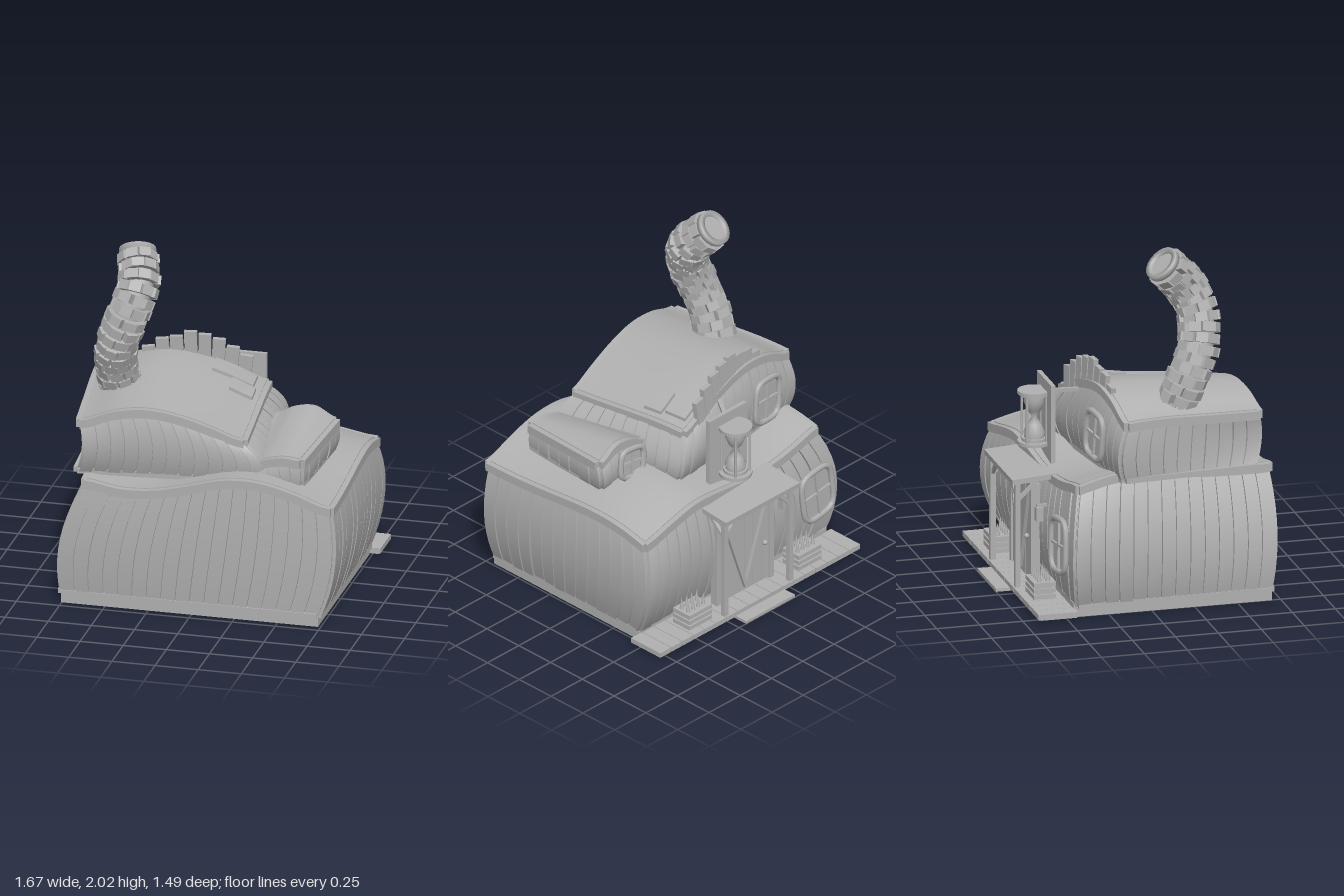
import * as THREE from 'three';

const V3 = THREE.Vector3;
const lerp = THREE.MathUtils.lerp;
const grey = new THREE.MeshStandardMaterial({ color: 0xb0b0b0 });
grey.name = 'plainGrey';

let seed = 7;
const rnd = () => ((seed = (seed * 16807) % 2147483647) / 2147483647);

function add(parent, name, geo, x = 0, y = 0, z = 0) {
  const m = new THREE.Mesh(geo, grey);
  m.name = name;
  m.position.set(x, y, z);
  parent.add(m);
  return m;
}
const box = (p, name, w, h, d, x, y, z) => add(p, name, new THREE.BoxGeometry(w, h, d), x, y, z);

// Square beam between two points
function beam(p, name, a, b, s) {
  const A = new V3(...a), B = new V3(...b);
  const m = box(p, name, s, s, A.distanceTo(B), 0, 0, 0);
  m.position.copy(A).add(B).multiplyScalar(0.5);
  m.lookAt(B);
  return m;
}

// Box whose unit coordinates (a, b, c in 0..1) are bent by a rule
function bent(p, name, na, nb, rule) {
  const g = new THREE.BoxGeometry(1, 1, 1, na, nb, 1), q = g.attributes.position;
  for (let i = 0; i < q.count; i++) {
    const v = rule(q.getX(i) + 0.5, q.getY(i) + 0.5, q.getZ(i) + 0.5);
    q.setXYZ(i, v.x, v.y, v.z);
  }
  g.computeVertexNormals();
  return add(p, name, g);
}

const spline = ys => {
  const c = new THREE.SplineCurve(ys.map((y, i) => new THREE.Vector2(i, y)));
  return a => c.getPoint(THREE.MathUtils.clamp(a, 0, 1)).y;
};

// A crooked storey: corners (front left, front right, back right, back left) at three heights
function storey(parent, name, { y0, levels, front, back, hump, planks }) {
  const g = new THREE.Group();
  g.name = name;
  parent.add(g);
  const fy = spline(front), by = spline(back);
  const roofY = (a, b) => lerp(fy(a), by(a), b) + hump * Math.sin(Math.PI * b * b);
  const corner = (i, h) => {
    const k = [2 * (h - 0.5) * (h - 1), 4 * h * (1 - h), 2 * h * (h - 0.5)];
    return [0, 1].map(j => k.reduce((s, w, l) => s + w * levels[l][i % 4][j], 0));
  };
  const wall = (s, t, h, out = 0, dy = 0) => {
    const A = corner(s, h), B = corner(s + 1, h);
    const dx = B[0] - A[0], dz = B[1] - A[1], L = Math.hypot(dx, dz);
    const top = [() => roofY(t, 0), () => roofY(1, t), () => roofY(1 - t, 1), () => roofY(0, 1 - t)][s]() - 0.025;
    return new V3(A[0] + dx * t - dz / L * out, lerp(y0, top, h) + dy, A[1] + dz * t + dx / L * out);
  };
  for (let s = 0; s < 4; s++) {
    bent(g, 'innerWall', 16, 10, (a, b, c) => wall(s, a, b, (c - 1) * 0.03));
    const n = planks[s];
    for (let i = 0; i < n; i++) {
      const thick = 0.012 + rnd() * 0.006;
      bent(g, 'wallPlank', 1, 10, (a, b, c) => wall(s, (i + 0.05 + a * 0.9) / n, b, c * thick));
    }
    bent(g, 'roofTrim', 24, 1, (a, b, c) => wall(s, lerp(-0.01, 1.01, a), 1, c * 0.032, b * 0.05 - 0.03));
    bent(g, 'sill', 12, 1, (a, b, c) => wall(s, a, 0, c * 0.024, b * 0.03));
  }
  const slab = (h, yf) => (a, b, c) => {
    const f = wall(0, a, h), k = wall(2, 1 - a, h);
    return new V3(lerp(f.x, k.x, b), yf(a, b, c), lerp(f.z, k.z, b));
  };
  const roofAt = slab(1, (a, b, c) => roofY(a, b) - 0.03 * (1 - c));
  bent(g, 'roof', 24, 16, roofAt);
  bent(g, 'floor', 4, 4, slab(0, (a, b, c) => y0 + c * 0.02));
  return { g, wall, roofAt };
}

// Group whose z axis points out of a wall
function onWall(st, name, s, t, h) {
  const p = st.wall(s, t, h, 0.02), e = 0.02;
  const x = st.wall(s, t + e, h, 0.02).sub(st.wall(s, t - e, h, 0.02)).normalize();
  const up = st.wall(s, t, h + e, 0.02).sub(st.wall(s, t, h - e, 0.02));
  const z = x.clone().cross(up).normalize();
  const g = new THREE.Group();
  g.name = name;
  g.applyMatrix4(new THREE.Matrix4().makeBasis(x, z.clone().cross(x), z).setPosition(p));
  st.g.add(g);
  return g;
}

function windowOn(st, t, h, w, ht) {
  const g = onWall(st, 'window', 2, t, h), pts = [];
  for (let i = 0; i < 16; i++) {
    const a = i / 16 * Math.PI * 2, c = Math.cos(a), s = Math.sin(a);
    pts.push(new V3(Math.sign(c) * Math.sqrt(Math.abs(c)) * w / 2, Math.sign(s) * Math.sqrt(Math.abs(s)) * ht / 2, 0.015));
  }
  add(g, 'windowFrame', new THREE.TubeGeometry(new THREE.CatmullRomCurve3(pts, true), 48, 0.018, 6, true));
  const pane = new THREE.Shape(pts.map(p => new THREE.Vector2(p.x, p.y)));
  add(g, 'pane', new THREE.ExtrudeGeometry(pane, { depth: 0.008, bevelEnabled: false }));
  box(g, 'muntin', 0.014, ht, 0.02, 0, 0, 0.012);
  box(g, 'muntin', w, 0.014, 0.02, 0, 0, 0.012);
}

export function createModel() {
  const root = new THREE.Group();
  root.name = 'crookedHouse';

  const lower = storey(root, 'lowerStorey', {
    y0: 0.05, hump: 0.05, planks: [18, 14, 18, 14],
    levels: [
      [[-0.75, 0.69], [0.73, 0.69], [0.73, -0.43], [-0.75, -0.43]],
      [[-0.74, 0.725], [0.815, 0.69], [0.785, -0.555], [-0.815, -0.46]],
      [[-0.60, 0.71], [0.79, 0.67], [0.75, -0.50], [-0.69, -0.40]]],
    front: [0.77, 0.735, 0.745, 0.79, 0.84, 0.84, 0.79, 0.72],
    back: [0.76, 0.72, 0.70, 0.71, 0.74, 0.76, 0.73, 0.69]
  });
  const upper = storey(root, 'upperStorey', {
    y0: 0.76, hump: 0.01, planks: [13, 10, 13, 10],
    levels: [
      [[-0.68, 0.61], [0.36, 0.52], [0.27, -0.28], [-0.74, -0.15]],
      [[-0.63, 0.66], [0.38, 0.54], [0.28, -0.33], [-0.765, -0.18]],
      [[-0.65, 0.64], [0.25, 0.52], [0.19, -0.25], [-0.74, -0.13]]],
    front: [1.10, 1.16, 1.18, 1.15, 1.09, 1.02],
    back: [1.12, 1.20, 1.235, 1.21, 1.15, 1.07]
  });
  const dormer = storey(root, 'dormer', {
    y0: 0.76, hump: 0, planks: [4, 7, 5, 7],
    levels: [
      [[0.36, 0.54], [0.59, 0.54], [0.62, -0.03], [0.30, -0.03]],
      [[0.36, 0.55], [0.60, 0.55], [0.65, -0.06], [0.30, -0.06]],
      [[0.31, 0.52], [0.59, 0.54], [0.64, -0.03], [0.30, -0.02]]],
    front: [0.89, 0.925, 0.945, 0.94],
    back: [0.97, 1.02, 1.03, 0.97]
  });
  windowOn(lower, 0.88, 0.52, 0.25, 0.3);
  windowOn(upper, 0.72, 0.48, 0.22, 0.26);
  windowOn(dormer, 0.6, 0.55, 0.18, 0.17);

  // Stepped planks rising over the back edge of the upper roof
  [1.25, 1.30, 1.315, 1.345, 1.33, 1.305, 1.26, 1.21].forEach((y, i) => {
    const x = -0.46 + i * 0.075, z = -0.165 - i * 0.013;
    const m = box(root, 'crestPlank', 0.072, y - 1.04, 0.03, x, (y + 1.04) / 2, z);
    m.rotation.set(0.06, 0.14, 0.12 - i * 0.035);
  });
  // Patches on the upper roof
  const patch = (a0, a1, b0, b1) => bent(root, 'roofPatch', 4, 4, (a, b, c) =>
    upper.roofAt(lerp(a0, a1, a), lerp(b0, b1, b), 1).add(new V3(0, c * 0.02, 0)));
  patch(0.7, 0.95, 0.78, 0.97);
  patch(0.83, 0.97, 0.6, 0.76);

  // Winding brick chimney
  const path = new THREE.CatmullRomCurve3([[-0.53, 1.12, 0.2], [-0.545, 1.3, 0.27], [-0.52, 1.46, 0.335],
    [-0.455, 1.64, 0.35], [-0.415, 1.79, 0.285], [-0.455, 1.935, 0.145]].map(p => new V3(...p)));
  const chimney = new THREE.Group();
  chimney.name = 'chimney';
  root.add(chimney);
  add(chimney, 'flue', new THREE.TubeGeometry(path, 32, 0.085, 14));
  const rings = 16, frames = path.computeFrenetFrames(rings, false);
  for (let i = 0; i < rings; i++) {
    const P = path.getPointAt(i / rings), T = frames.tangents[i];
    for (let j = 0; j < 9; j++) {
      const a = (j + (i % 2) / 2 + rnd() * 0.2) / 9 * Math.PI * 2;
      const n = frames.normals[i].clone().multiplyScalar(Math.cos(a)).addScaledVector(frames.binormals[i], Math.sin(a));
      const m = box(chimney, 'brick', 0.068, 0.054, 0.04, 0, 0, 0);
      const pos = P.clone().addScaledVector(n, 0.088 + rnd() * 0.014);
      m.applyMatrix4(new THREE.Matrix4().makeBasis(T.clone().cross(n), T, n).setPosition(pos));
    }
  }
  const cap = new THREE.Group();
  cap.name = 'chimneyCap';
  cap.position.copy(path.getPointAt(1));
  cap.quaternion.setFromUnitVectors(new V3(0, 1, 0), path.getTangentAt(1));
  chimney.add(cap);
  add(cap, 'capRing', new THREE.LatheGeometry([[0.075, -0.02], [0.105, -0.02], [0.105, 0.015], [0.075, 0.015], [0.075, -0.02]]
    .map(p => new THREE.Vector2(...p)), 20));
  add(cap, 'flueEnd', new THREE.CylinderGeometry(0.08, 0.08, 0.01, 20), 0, -0.01, 0);

  // Foundation, porch boards and step
  box(root, 'foundation', 1.49, 0.055, 1.14, -0.01, 0.0275, 0.13);
  for (let i = 0; i < 18; i++) box(root, 'porchBoard', 0.085, 0.03, 0.23, -0.756 + i * 0.089, 0.028, -0.555);
  box(root, 'porchUnderside', 1.58, 0.015, 0.21, 0, 0.014, -0.55);
  box(root, 'step', 0.39, 0.018, 0.09, 0, 0.009, -0.705);

  // Canopy with posts and braces
  const canopy = box(root, 'canopy', 0.59, 0.03, 0.3, -0.005, 0.68, -0.535);
  canopy.rotation.x = -0.07;
  for (const s of [-1, 1]) {
    box(root, 'post', 0.03, 0.62, 0.03, s * 0.26, 0.35, -0.645);
    beam(root, 'brace', [s * 0.26, 0.66, -0.53], [s * 0.26, 0.55, -0.645], 0.02);
    beam(root, 'brace', [s * 0.16, 0.655, -0.645], [s * 0.26, 0.55, -0.645], 0.02);
    box(root, 'doorJamb', 0.035, 0.58, 0.05, s * 0.21, 0.33, -0.53);
    beam(root, 'doorBrace', [s * 0.17, 0.58, -0.553], [0, 0.08, -0.553], 0.025);
    // Planters with small pointed plants
    const x = s < 0 ? -0.445 : 0.43;
    box(root, 'planter', 0.16, 0.08, 0.1, x, 0.085, -0.56);
    for (const y of [0.06, 0.095, 0.13])
      box(root, 'planterSlat', 0.18, 0.025, 0.13, x, y, -0.56);
    for (let i = 0; i < 8; i++)
      add(root, 'plant', new THREE.ConeGeometry(0.015, 0.08, 7), x - 0.06 + (i % 4) * 0.04, 0.175, -0.585 + (i >> 2) * 0.05);
  }
  for (let i = 0; i < 6; i++) box(root, 'doorPlank', 0.064, 0.56, 0.03, -0.167 + i * 0.067, 0.33, -0.53);
  box(root, 'doorLintel', 0.46, 0.035, 0.05, 0, 0.61, -0.53);
  add(root, 'doorKnob', new THREE.SphereGeometry(0.015, 10, 8), -0.15, 0.3, -0.56);
  box(root, 'lantern', 0.04, 0.08, 0.04, -0.32, 0.48, -0.535);
  box(root, 'lanternBracket', 0.015, 0.015, 0.06, -0.32, 0.53, -0.52);

  // Sign board with an hourglass on the roof edge
  box(root, 'signBoard', 0.3, 0.46, 0.025, 0, 0.94, -0.405);
  beam(root, 'signStrut', [-0.01, 1.1, -0.4], [-0.13, 1.13, -0.2], 0.022);
  const glass = new THREE.Group();
  glass.name = 'hourglass';
  glass.position.set(0, 0.95, -0.475);
  root.add(glass);
  for (const s of [-1, 1]) {
    add(glass, 'endPlate', new THREE.CylinderGeometry(0.095, 0.095, 0.02, 24), 0, s * 0.148, 0);
    add(glass, 'endRing', new THREE.CylinderGeometry(0.07, 0.07, 0.02, 24), 0, s * 0.13, 0);
  }
  const profile = [[0.055, -0.13], [0.06, -0.09], [0.04, -0.04], [0.012, 0], [0.04, 0.04], [0.06, 0.09], [0.055, 0.13]];
  add(glass, 'glassBulbs', new THREE.LatheGeometry(profile.map(p => new THREE.Vector2(...p)), 18));
  for (let i = 0; i < 4; i++) {
    const a = (i + 0.5) * Math.PI / 2;
    add(glass, 'glassPost', new THREE.CylinderGeometry(0.008, 0.008, 0.29, 8), Math.cos(a) * 0.08, 0, Math.sin(a) * 0.08);
  }
  return root;
}
